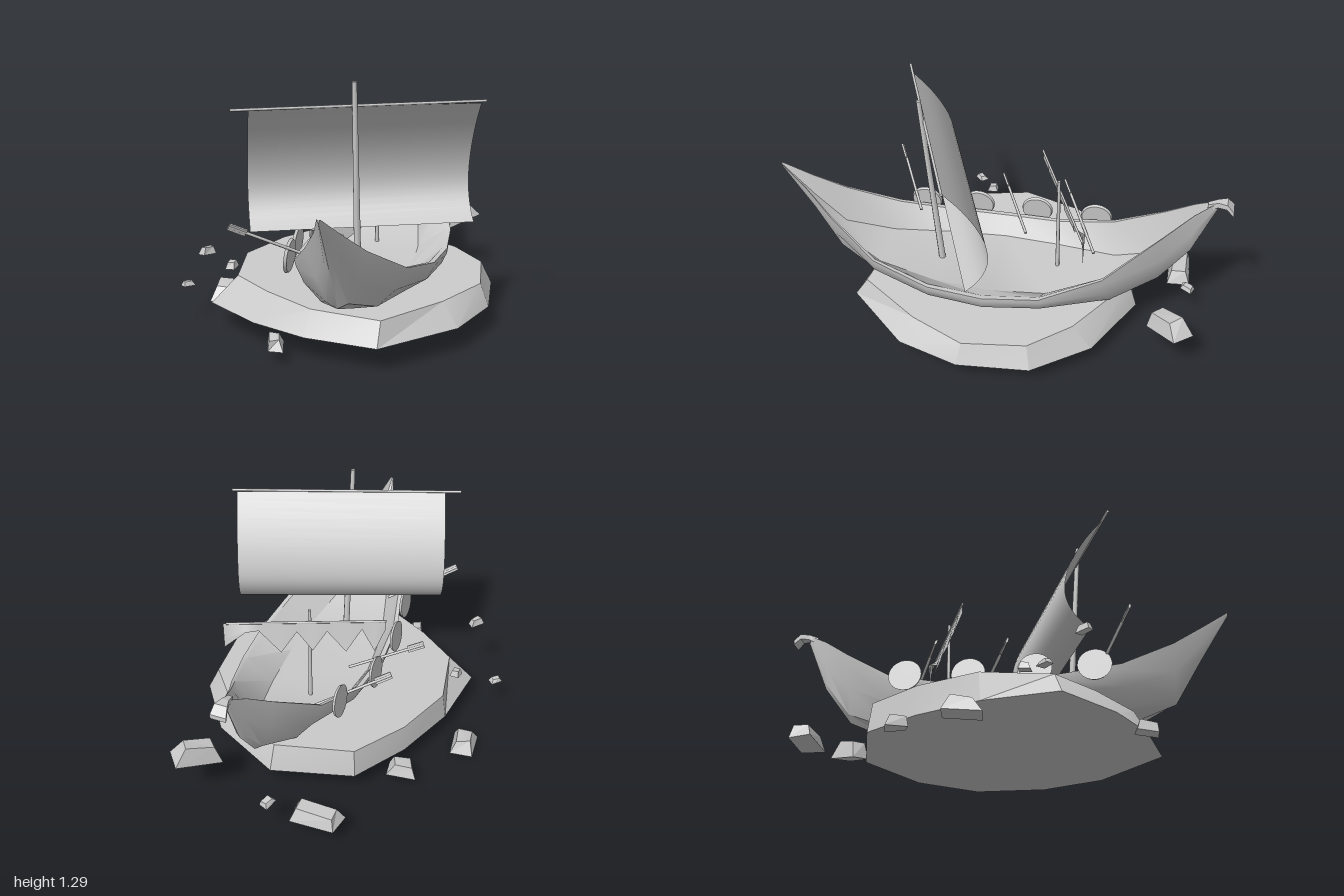
import * as THREE from 'three';
import { toCreasedNormals } from 'three/addons/utils/BufferGeometryUtils.js';

const V = (x, y, z) => new THREE.Vector3(x, y, z);
const grey = new THREE.MeshStandardMaterial({ color: 0xcccccc });
const flat = new THREE.MeshStandardMaterial({ color: 0xcccccc, flatShading: true });
const cloth = new THREE.MeshStandardMaterial({ color: 0xcccccc, side: THREE.DoubleSide });

function add(parent, name, geometry, material = grey) {
  const mesh = new THREE.Mesh(geometry, material);
  mesh.name = name;
  parent.add(mesh);
  return mesh;
}

// Skin a list of equal-length rings of points
function loft(rings, closed = true) {
  const n = rings[0].length, pos = [], idx = [];
  rings.forEach(r => r.forEach(p => pos.push(p.x, p.y, p.z)));
  for (let i = 0; i < rings.length - 1; i++) {
    for (let j = 0; j < (closed ? n : n - 1); j++) {
      const k = (j + 1) % n, a = i * n + j, b = a + n, c = i * n + k, d = c + n;
      idx.push(a, b, c, b, d, c);
    }
  }
  const g = new THREE.BufferGeometry();
  g.setAttribute('position', new THREE.Float32BufferAttribute(pos, 3));
  g.setIndex(idx);
  g.computeVertexNormals();
  return g;
}

// Close both ends of a loft with a ring collapsed to its middle
function capped(rings) {
  const cap = r => {
    const m = r.reduce((s, p) => s.add(p), V(0, 0, 0)).divideScalar(r.length);
    return r.map(() => m.clone());
  };
  return [cap(rings[0]), ...rings, cap(rings[rings.length - 1])];
}

// Round pole between two points
function rod(parent, name, a, b, r0, r1 = r0, sides = 8) {
  const mesh = add(parent, name, new THREE.CylinderGeometry(r1, r0, a.distanceTo(b), sides));
  mesh.position.copy(a).lerp(b, 0.5);
  mesh.quaternion.setFromUnitVectors(V(0, 1, 0), b.clone().sub(a).normalize());
  return mesh;
}

function buildBase(model) {
  // bottom x, z, then top x, z
  const outline = [
    [-0.80, -0.28, -0.69, -0.20], [-0.47, -0.46, -0.45, -0.45], [-0.13, -0.55, -0.13, -0.54],
    [0.20, -0.57, 0.19, -0.55], [0.54, -0.30, 0.50, -0.28],
    [0.60, 0.12, 0.51, 0.17], [0.49, 0.46, 0.44, 0.43], [0.20, 0.70, 0.19, 0.65],
    [-0.13, 0.80, -0.13, 0.70], [-0.59, 0.73, -0.53, 0.69], [-0.75, 0.40, -0.69, 0.38],
    [-0.81, 0.09, -0.71, 0.07]];
  const bottom = outline.map(p => V(p[0], 0.125, p[1]));
  const top = outline.map(p => V(p[2], 0.26 - 0.035 * p[3], p[3]));
  add(model, 'base', toCreasedNormals(loft(capped([bottom, top])), 0.35));
}

function buildHull(ship) {
  // gunwale: along, half width, height; keel: along, height
  const stations = [
    [-1.14, 0.008, 0.835, -1.14, 0.82], [-1.00, 0.06, 0.735, -0.98, 0.57],
    [-0.85, 0.14, 0.62, -0.84, 0.34], [-0.59, 0.27, 0.47, -0.62, 0.26],
    [-0.29, 0.345, 0.405, -0.30, 0.235], [0, 0.365, 0.39, 0, 0.23],
    [0.29, 0.34, 0.405, 0.30, 0.235], [0.60, 0.25, 0.51, 0.64, 0.25],
    [0.87, 0.12, 0.71, 0.87, 0.36], [1.02, 0.05, 0.83, 1.02, 0.57],
    [1.12, 0.012, 0.89, 1.13, 0.85]];
  // Rounded amidships (v = 0), V-shaped toward the ends (v = 1)
  const section = v => [[0, 0],
    [0.62 - 0.3 * v, 0.1], [0.93 - 0.28 * v, 0.5], [1 - 0.09 * v, 0.85], [1, 1],
    [0.93, 1], [0.5 - 0.2 * v, 0.36], [-0.76 + 0.36 * v, 0.38], [-0.93, 1],
    [-1, 1], [-1 + 0.09 * v, 0.85], [-0.93 + 0.28 * v, 0.5], [-0.62 + 0.3 * v, 0.1]];
  const rings = stations.map(([ga, gw, gy, ka, ky]) => section(Math.min(1, ga * ga * 1.2))
    .map(([w, t]) => V(ka + (ga - ka) * t, ky + (gy - ky) * t, w * gw)));
  add(ship, 'hull', toCreasedNormals(loft(capped(rings)), 0.6));

  // Hooked bow ornament: along, height, half width, half thickness
  const hook = [[1.08, 0.86, 0.012, 0.02], [1.13, 0.885, 0.018, 0.014],
    [1.175, 0.887, 0.032, 0.014], [1.21, 0.85, 0.04, 0.012]];
  const hookRings = hook.map(([a, y, w, h]) =>
    [V(a, y - h, -w), V(a, y - h, w), V(a, y + h, w), V(a, y + h, -w)]);
  add(ship, 'bowHook', loft(capped(hookRings)), flat);

  // Round shields hung along the far side
  for (const [a, w, y] of [[0.5, 0.295, 0.475], [0.16, 0.365, 0.425], [-0.17, 0.365, 0.425], [-0.46, 0.32, 0.445]]) {
    const shield = add(ship, 'shield',
      toCreasedNormals(new THREE.CylinderGeometry(0.08, 0.086, 0.014, 24), 0.6));
    shield.position.set(a, y, -w - 0.01);
    shield.rotation.x = Math.PI / 2 + 0.1;
  }
}

function buildRigging(model) {
  rod(model, 'mainMast', V(-0.335, 0.28, 0.315), V(-0.395, 1.285, 0.36), 0.018, 0.012);
  const left = V(-0.87, 1.163, 0.03), right = V(0.155, 1.175, 0.69);
  rod(model, 'mainYard', left, right, 0.007);

  // Main sail, billowing toward the bow
  const billow = new THREE.SplineCurve([[0, 1.165], [0.09, 1.05], [0.165, 0.92], [0.205, 0.8],
    [0.205, 0.7], [0.16, 0.61], [0.09, 0.55]].map(p => new THREE.Vector2(...p)));
  const rows = billow.getPoints(18).map(p => [0.07, 0.98].map(s => {
    const q = left.clone().lerp(right, s);
    return V(q.x + 0.537 * p.x, p.y, q.z - 0.843 * p.x);
  }));
  add(model, 'mainSail', loft(rows, false), cloth);

  // Small mast with a torn sail
  rod(model, 'smallMast', V(0.155, 0.28, -0.08), V(0.155, 0.86, -0.08), 0.011, 0.008);
  const a = V(-0.17, 0.79, -0.29), b = V(0.52, 0.79, 0.13);
  rod(model, 'smallYard', a, b, 0.006);
  const rags = [[0, 0.05], [0.07, 0.16], [0.15, 0.05], [0.25, 0.16], [0.37, 0.06], [0.46, 0.15],
    [0.56, 0.06], [0.66, 0.16], [0.8, 0.05], [0.88, 0.03], [1.02, 0.15]];
  const strips = rags.map(([s, drop], i) => [0, 0.33, 0.67, 1].map(t => {
    const q = a.clone().lerp(b, s), d = 0.04 * (i % 2) * t;
    return V(q.x + 0.537 * d, 0.79 - drop * t, q.z - 0.843 * d);
  }));
  add(model, 'tornSail', loft(strips, false), cloth);
}

function buildOars(model) {
  const oars = [
    [V(-0.45, 0.50, -0.26), V(-0.09, 0.38, -0.08)],
    [V(-0.12, 0.55, -0.42), V(0.28, 0.37, -0.23)],
    [V(-0.93, 0.63, 0.08), V(-0.58, 0.45, 0.25)]];
  for (const [tip, grip] of oars) {
    const shaft = rod(model, 'oar', grip, tip, 0.008, 0.008, 6);
    const blade = add(shaft, 'oarBlade', new THREE.BoxGeometry(0.01, 0.09, 0.036), flat);
    blade.position.y = tip.distanceTo(grip) / 2 - 0.045;
    blade.rotation.y = 0.72;
  }
}

function buildRocks(model) {
  let seed = 7;
  const rnd = () => (seed = (seed * 16807) % 2147483647) / 2147483647;
  // centre x, y, z, then length, height, width, yaw, tilt
  const rocks = [
    [0.515, 0.15, -0.70, 0.27, 0.08, 0.12, -0.93, 0], [0.87, 0.315, -0.145, 0.24, 0.11, 0.11, -0.15, 0.25],
    [0.695, 0.20, -0.54, 0.07, 0.03, 0.05, 0.2, -0.2], [-0.495, 0.045, -0.605, 0.18, 0.085, 0.12, 0.75, 0.1],
    [-0.07, 0.09, -0.61, 0.14, 0.065, 0.11, -0.6, 0.15], [-0.84, 0.20, -0.43, 0.065, 0.025, 0.045, -0.2, 0],
    [-0.87, 0.44, -0.19, 0.075, 0.04, 0.04, 0, 0], [-0.63, 0.28, -0.335, 0.06, 0.04, 0.05, 0.6, 0.1],
    [-0.83, 0.098, 0.285, 0.12, 0.06, 0.075, 0.9, 0.1]];
  for (const [x, y, z, l, h, w, yaw, tilt] of rocks) {
    const k = () => 0.7 + 0.3 * rnd();
    const ring = (v, s) => [[-1, -1], [1, -1], [1, 1], [-1, 1]].map(([i, j]) =>
      V(i * l / 2 * s * k(), v * h / 2 * k(), j * w / 2 * s * k()));
    const rock = add(model, 'rock', loft(capped([ring(-1, 1.15), ring(1, 0.75)])), flat);
    rock.position.set(x, y, z);
    rock.rotation.set(0, yaw, tilt);
  }
}

export function createModel() {
  const model = new THREE.Group();
  model.name = 'shipOnBase';
  buildBase(model);
  const ship = new THREE.Group();
  ship.name = 'ship';
  ship.position.set(-0.07, 0, 0.165);
  ship.rotation.y = 0.615;
  model.add(ship);
  buildHull(ship);
  buildRigging(model);
  buildOars(model);
  buildRocks(model);
  return model;
}
